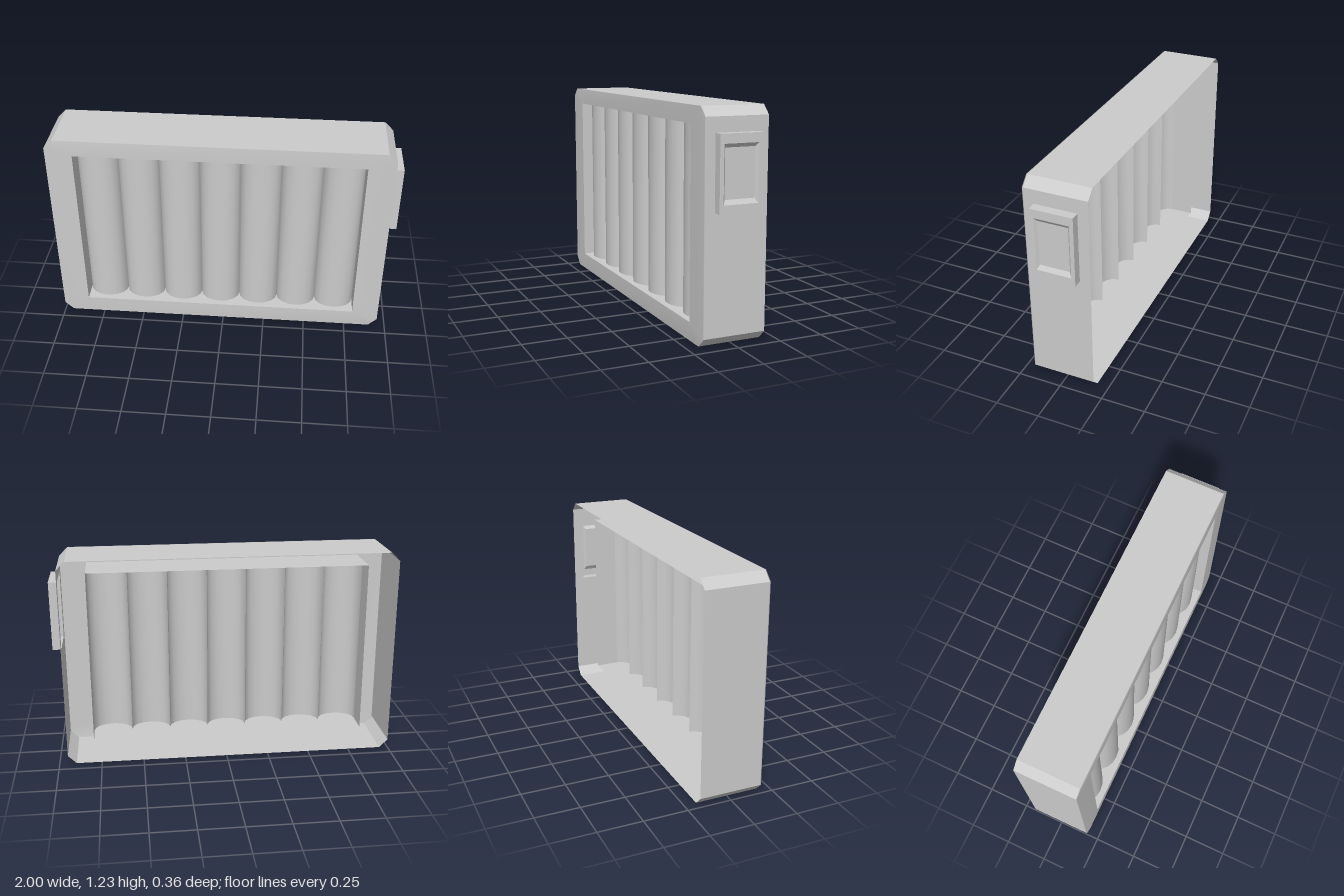
import * as THREE from 'three';

const material = new THREE.MeshStandardMaterial({ color: 0xcccccc, side: THREE.DoubleSide });

// Skin a series of cross-sections (arrays of [x, y, z]) that share a point count.
function loft(name, rings, { closed = true, smooth = false, cap = false } = {}) {
  const n = rings[0].length;
  const index = [];
  for (let r = 0; r < rings.length - 1; r++) {
    for (let i = 0; i < (closed ? n : n - 1); i++) {
      const a = r * n + i, b = r * n + (i + 1) % n;
      index.push(a, b, b + n, a, b + n, a + n);
    }
  }
  const last = (rings.length - 1) * n;
  if (cap) for (let i = 1; i < n - 1; i++) index.push(last, last + i, last + i + 1);
  let geometry = new THREE.BufferGeometry();
  geometry.setAttribute('position', new THREE.Float32BufferAttribute(rings.flat(2), 3));
  geometry.setIndex(index);
  if (!smooth) geometry = geometry.toNonIndexed();
  geometry.computeVertexNormals();
  const mesh = new THREE.Mesh(geometry, material);
  mesh.name = name;
  return mesh;
}

const atZ = (points, z) => points.map(([x, y]) => [x, y, z]);

// Rectangle facing +x, counter-clockwise from outside
const sideRect = (x, halfZ, y0, y1) =>
  [[x, y0, halfZ], [x, y0, -halfZ], [x, y1, -halfZ], [x, y1, halfZ]];

export function createModel() {
  const group = new THREE.Group();
  const front = 0.18, back = -0.18;
  const left = -0.845, right = 0.795, low = 0.1, high = 1.135;

  // Chamfered outline; its closing edge is the side that carries the button
  const outline = [
    [0.95, 1.18], [0.9, 1.23], [-0.95, 1.23], [-1, 1.18],
    [-1, 0.05], [-0.95, 0], [0.9, 0], [0.95, 0.05],
  ];
  const windowCorners = [[right, high], [left, high], [left, low], [right, low]];
  const windowDoubled = windowCorners.flatMap((p) => [p, p]);

  // Open-backed casing
  group.add(loft('casingWalls', [atZ(outline, back), atZ(outline, front - 0.005)], { closed: false }));
  group.add(loft('frontFrame',
    [atZ(outline, front - 0.005), atZ(outline, front), atZ(windowDoubled, front)], { smooth: true }));

  // Side wall with the opening behind the button
  const wall = new THREE.Shape([[-front, 0.05], [-back, 0.05], [-back, 1.18], [-front, 1.18]]
    .map(([u, v]) => new THREE.Vector2(u, v)));
  wall.holes.push(new THREE.Path([[-0.12, 0.7], [-0.12, 1.1], [0.12, 1.1], [0.12, 0.7]]
    .map(([u, v]) => new THREE.Vector2(u, v))));
  const sideWall = new THREE.Mesh(new THREE.ShapeGeometry(wall), material);
  sideWall.name = 'buttonSideWall';
  sideWall.rotation.y = Math.PI / 2;
  sideWall.position.x = 0.95;
  group.add(sideWall);

  // Hollow button with a shallow dished face
  group.add(loft('sideButton', [
    sideRect(0.95, 0.12, 0.7, 1.1),
    sideRect(1, 0.12, 0.7, 1.1),
    sideRect(1, 0.098, 0.745, 1.05),
    sideRect(0.985, 0.085, 0.77, 1.03),
  ], { cap: true }));

  // Sleeve running back from the window
  group.add(loft('windowSleeve', [atZ(windowCorners, front), atZ(windowCorners, -0.085)]));

  // Row of half-round columns closing the window
  const columns = new THREE.Group();
  columns.name = 'columnPanel';
  const count = 7, segments = 8, radius = (right - left) / count / 2;
  for (let c = 0; c < count; c++) {
    const arc = (y) => Array.from({ length: segments + 1 }, (_, i) => {
      const t = Math.PI * i / segments;
      return [left + radius * (2 * c + 1 - Math.cos(t)), y, 0.055 + 0.09 * Math.sin(t)];
    });
    columns.add(loft('column', [arc(low), arc(high)], { closed: false, smooth: true }));
  }
  group.add(columns);
  return group;
}
